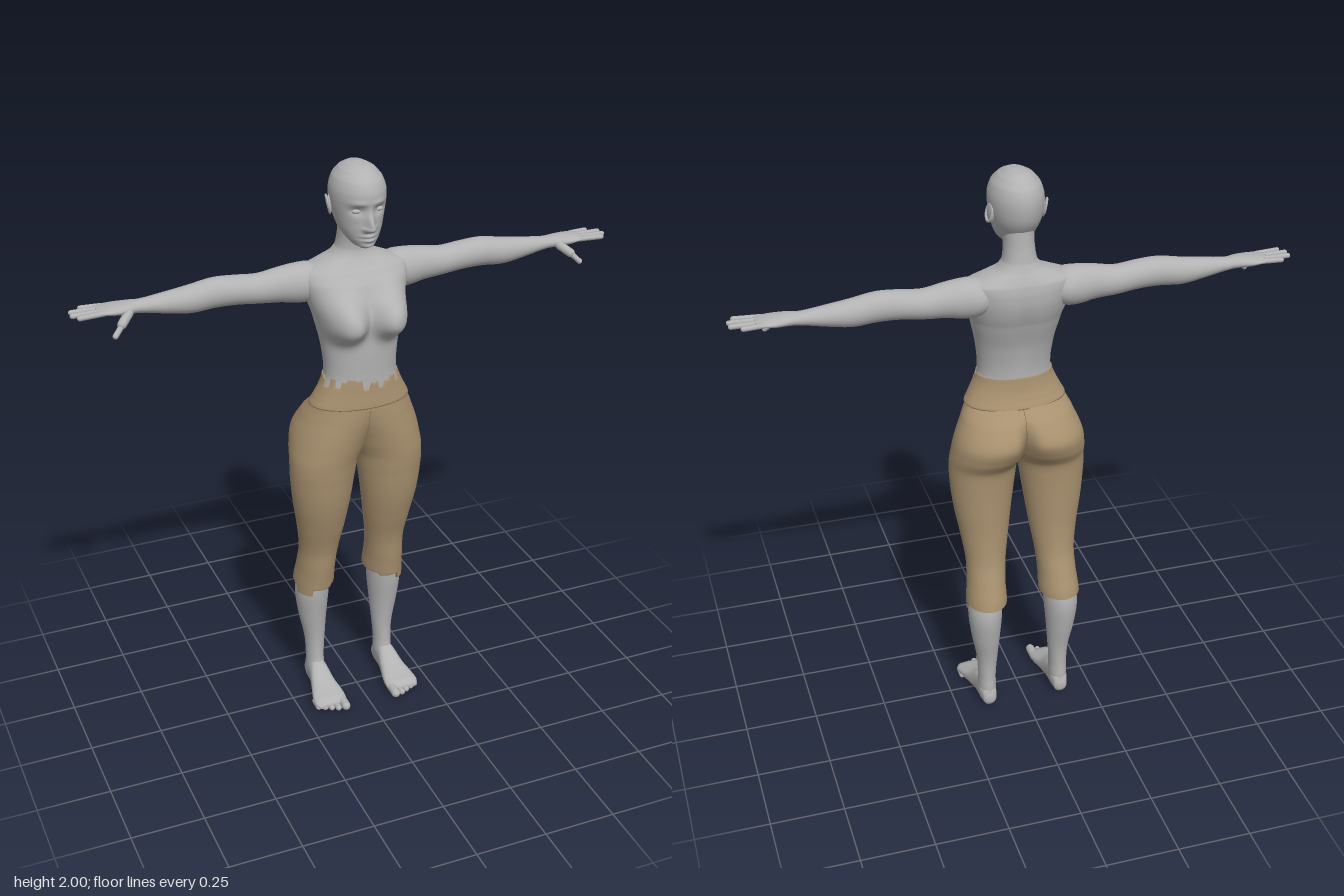
import * as THREE from 'three';

const skin = new THREE.MeshStandardMaterial({ color: 0xb2b2b2 });
skin.name = 'grey skin';
const cloth = new THREE.MeshStandardMaterial({ color: 0xa8916f });
cloth.name = 'tan cloth';

const toXYZ = {
  y: (t, a, b) => new THREE.Vector3(a, t, b), // rings stacked upwards: a = x, b = z
  x: (t, a, b) => new THREE.Vector3(t, a, b), // rings along the arm: a = y, b = z
  z: (t, a, b) => new THREE.Vector3(a, b, t), // rings along the foot: a = x, b = y
};

const mix = (a, b, c, d, t) => // Catmull-Rom blend
  b + 0.5 * t * (c - a + t * (2 * a - 5 * b + 4 * c - d + t * (3 * (b - c) + d - a)));

// Smooth closed skin over oval rings [position, a0, a1, b0, b1]
function loft(rings, { axis = 'y', side = 1, segs = 40, steps = 6, power = 2, warp } = {}) {
  const pos = [], index = [], n = rings.length - 1, rows = n * steps;
  const at = (i) => rings[Math.min(n, Math.max(0, i))];
  const add = (v) => pos.push(v.x * side, v.y, v.z);
  const bend = (c) => Math.sign(c) * Math.abs(c) ** (2 / power);
  const centres = [];
  for (let r = 0; r <= rows; r++) {
    const i = Math.min(n - 1, Math.floor(r / steps)), f = r / steps - i;
    const [t, a0, a1, b0, b1] = at(i).map((_, k) => k === 0
      ? THREE.MathUtils.lerp(at(i)[0], at(i + 1)[0], f)
      : mix(at(i - 1)[k], at(i)[k], at(i + 1)[k], at(i + 2)[k], f));
    const ca = (a0 + a1) / 2, cb = (b0 + b1) / 2;
    for (let s = 0; s < segs; s++) {
      const ang = (s / segs) * Math.PI * 2;
      const v = toXYZ[axis](t, ca + bend(Math.cos(ang)) * (a1 - a0) / 2, cb + bend(Math.sin(ang)) * (b1 - b0) / 2);
      if (warp) warp(v, ang);
      add(v);
    }
    if (r === 0 || r === rows) centres.push(toXYZ[axis](t, ca, cb));
  }
  centres.forEach(add);
  const end = (rows + 1) * segs;
  for (let s = 0; s < segs; s++) {
    const q = (s + 1) % segs;
    for (let r = 0; r < rows; r++) {
      const a = r * segs + s, b = r * segs + q;
      index.push(a, a + segs, b, b, a + segs, b + segs);
    }
    index.push(end, s, q, end + 1, rows * segs + q, rows * segs + s);
  }
  // turn every face outwards
  const p = (i) => new THREE.Vector3().fromArray(pos, i * 3);
  let volume = 0;
  for (let i = 0; i < index.length; i += 3) volume += p(index[i]).dot(p(index[i + 1]).cross(p(index[i + 2])));
  if (volume < 0) index.reverse();
  const g = new THREE.BufferGeometry();
  g.setAttribute('position', new THREE.Float32BufferAttribute(pos, 3));
  g.setIndex(index);
  g.computeVertexNormals();
  return g;
}

const bump = (dx, dy, power = 1) => Math.exp(-((dx * dx + dy * dy) ** power));

export function createModel() {
  const model = new THREE.Group();
  const add = (name, geometry, material = skin, parent = model) => {
    const mesh = new THREE.Mesh(geometry, material);
    mesh.name = name;
    parent.add(mesh);
    return mesh;
  };
  // Rounded digit between two points
  const digit = (name, from, to, radius, parent) => {
    const a = new THREE.Vector3(...from), d = new THREE.Vector3(...to).sub(a), len = d.length();
    const mesh = add(name, new THREE.CapsuleGeometry(radius, len - radius, 6, 12), skin, parent);
    mesh.position.copy(a).addScaledVector(d, 0.5);
    mesh.quaternion.setFromUnitVectors(new THREE.Vector3(0, 1, 0), d.normalize());
  };

  // Torso and neck, with the bust and spine shaped by rule
  add('torso', loft([
    [1.17, -0.16, 0.16, -0.08, 0.11], [1.24, -0.14, 0.14, -0.065, 0.112], [1.3, -0.124, 0.124, -0.06, 0.113],
    [1.4, -0.132, 0.132, -0.076, 0.115], [1.5, -0.152, 0.152, -0.107, 0.108], [1.56, -0.17, 0.17, -0.126, 0.1],
    [1.61, -0.182, 0.182, -0.13, 0.083], [1.645, -0.178, 0.178, -0.125, 0.055], [1.665, -0.13, 0.13, -0.116, 0.038],
    [1.685, -0.08, 0.08, -0.105, 0.025], [1.71, -0.057, 0.057, -0.094, 0.018], [1.76, -0.05, 0.05, -0.085, 0.025],
    [1.83, -0.05, 0.05, -0.08, 0.04],
  ], {
    segs: 96, steps: 8, power: 2.15,
    warp(v) {
      const dy = v.y - 1.497, front = THREE.MathUtils.smoothstep(v.z, 0, 0.06);
      v.z += 0.082 * front * bump((Math.abs(v.x) - 0.082) / 0.066, dy / (dy > 0 ? 0.08 : 0.06), 1.4);
      if (v.z < 0) v.z += 0.01 * bump(v.x / 0.03, (v.y - 1.45) / 0.16);
    },
  }));

  // Head with brow, nose, lips and chin
  const head = new THREE.Group();
  head.name = 'head';
  model.add(head);
  add('skull', loft([
    [1.738, -0.018, 0.018, 0.04, 0.085], [1.748, -0.036, 0.036, 0, 0.1], [1.77, -0.055, 0.055, -0.035, 0.105],
    [1.8, -0.07, 0.07, -0.07, 0.108], [1.84, -0.081, 0.081, -0.097, 0.11], [1.88, -0.088, 0.088, -0.108, 0.115],
    [1.92, -0.088, 0.088, -0.109, 0.117], [1.955, -0.077, 0.077, -0.098, 0.103], [1.98, -0.056, 0.056, -0.074, 0.075],
    [1.994, -0.032, 0.032, -0.046, 0.043], [2, -0.004, 0.004, -0.008, 0.002],
  ], {
    segs: 112, steps: 9,
    warp(v) {
      if (v.z < 0.02) return;
      const x = Math.abs(v.x), dy = v.y - 1.814;
      v.z += 0.036 * bump(v.x / (dy > 0 ? 0.012 : 0.016), dy / (dy > 0 ? 0.037 : 0.012)); // nose
      v.z += 0.007 * bump((x - 0.013) / 0.008, (v.y - 1.807) / 0.009); // nostrils
      v.z -= 0.013 * bump((x - 0.036) / 0.022, (v.y - 1.868) / 0.015); // eye sockets
      v.z += 0.005 * bump((x - 0.035) / 0.03, (v.y - 1.893) / 0.009); // brows
      v.z += 0.009 * bump(v.x / 0.022, (v.y - 1.784) / 0.007); // upper lip
      v.z += 0.009 * bump(v.x / 0.02, (v.y - 1.77) / 0.007); // lower lip
      v.z -= 0.005 * bump(v.x / 0.028, (v.y - 1.777) / 0.003); // mouth line
      v.z += 0.006 * bump(v.x / 0.025, (v.y - 1.749) / 0.01); // chin
    },
  }), skin, head);

  for (const side of [1, -1]) {
    const label = side > 0 ? 'left' : 'right';
    const mirrored = (name) => {
      const g = new THREE.Group();
      g.name = name;
      model.add(g);
      return g;
    };

    // Eyes and ears
    const eye = add(label + 'Eye', new THREE.SphereGeometry(0.013, 20, 14), skin, head);
    eye.position.set(side * 0.036, 1.866, 0.088);
    eye.scale.set(1.25, 0.65, 0.8);
    const ear = add(label + 'Ear', new THREE.SphereGeometry(0.02, 20, 14), skin, head);
    ear.position.set(side * 0.087, 1.862, -0.015);
    ear.scale.set(0.35, 1.6, 0.9);
    ear.rotation.set(-0.2, side * 0.3, 0);
    const rim = add(label + 'EarRim', new THREE.TorusGeometry(0.018, 0.004, 8, 24), skin, head);
    rim.position.set(side * 0.092, 1.866, -0.016);
    rim.rotation.set(-0.2, Math.PI / 2 + side * 0.25, 0, 'YXZ');
    rim.scale.y = 1.45;

    // Arm and hand, stretched sideways
    const arm = mirrored(label + 'Arm');
    add(label + 'ArmSkin', loft([
      [0.08, 1.57, 1.64, -0.09, 0], [0.14, 1.54, 1.664, -0.112, 0.018], [0.19, 1.535, 1.667, -0.108, 0.014],
      [0.25, 1.545, 1.661, -0.1, 0.004], [0.32, 1.551, 1.65, -0.098, -0.002], [0.4, 1.56, 1.657, -0.095, -0.002],
      [0.47, 1.561, 1.66, -0.093, -0.004], [0.55, 1.556, 1.647, -0.092, -0.006], [0.63, 1.568, 1.636, -0.085, -0.013],
      [0.71, 1.583, 1.627, -0.077, -0.021], [0.745, 1.588, 1.628, -0.082, -0.012], [0.79, 1.592, 1.626, -0.092, -0.004],
      [0.835, 1.6, 1.622, -0.092, -0.006], [0.85, 1.605, 1.618, -0.085, -0.012],
    ], { axis: 'x', side }), skin, arm);
    const fingers = [[-0.082, -0.088, 0.895], [-0.061, -0.062, 0.93], [-0.038, -0.033, 0.932], [-0.016, -0.007, 0.915]];
    for (const [z0, z1, x1] of fingers)
      digit(label + 'Finger', [side * 0.825, 1.611, z0], [side * x1, 1.611, z1], 0.0085, arm);
    digit(label + 'ThumbBase', [side * 0.75, 1.603, -0.022], [side * 0.79, 1.572, 0.012], 0.015, arm);
    digit(label + 'ThumbTip', [side * 0.785, 1.575, 0.01], [side * 0.815, 1.545, 0.027], 0.0095, arm);

    // Shin, foot and toes
    const leg = mirrored(label + 'LowerLeg');
    add(label + 'Shin', loft([
      [0.02, 0.11, 0.16, -0.115, -0.03], [0.06, 0.102, 0.166, -0.124, -0.028], [0.12, 0.102, 0.165, -0.12, -0.04],
      [0.2, 0.096, 0.17, -0.125, -0.041], [0.3, 0.088, 0.188, -0.145, -0.03], [0.4, 0.08, 0.198, -0.157, -0.015],
      [0.5, 0.08, 0.185, -0.14, -0.01],
    ], { side }), skin, leg);
    add(label + 'Foot', loft([
      [-0.13, 0.122, 0.148, 0.018, 0.045], [-0.122, 0.11, 0.158, 0.006, 0.07], [-0.09, 0.103, 0.166, 0.002, 0.1],
      [-0.04, 0.1, 0.17, 0.002, 0.105], [0.01, 0.092, 0.182, 0.003, 0.072], [0.06, 0.082, 0.196, 0.003, 0.05],
      [0.095, 0.081, 0.2, 0.002, 0.038], [0.118, 0.088, 0.188, 0.008, 0.026],
    ], { axis: 'z', side, power: 2.4 }), skin, leg);
    for (let i = 0; i < 5; i++) {
      const r = i === 0 ? 0.016 : 0.0115 - i * 0.0003, x = i === 0 ? 0.098 : 0.103 + i * 0.0215;
      digit(label + 'Toe', [side * x, r + 0.002, 0.085 - i * 0.007], [side * x, r, 0.147 - i * 0.0105 - (i ? 0 : 0.003)], r, leg);
    }

    // Trouser leg: flat where the two halves meet, with a torn hem
    add(label + 'TrouserLeg', loft([
      [0.4, 0.068, 0.203, -0.165, -0.004], [0.45, 0.062, 0.203, -0.167, 0.002], [0.52, 0.062, 0.197, -0.145, 0.012],
      [0.6, 0.055, 0.195, -0.12, 0.023], [0.7, 0.04, 0.208, -0.111, 0.053], [0.8, 0.026, 0.225, -0.111, 0.08],
      [0.9, 0.012, 0.235, -0.113, 0.095], [0.97, 0, 0.236, -0.12, 0.103], [1.02, -0.03, 0.231, -0.152, 0.108],
      [1.08, -0.07, 0.218, -0.17, 0.113], [1.15, -0.125, 0.19, -0.135, 0.118], [1.2, -0.168, 0.168, -0.083, 0.12],
    ], {
      side, segs: 96, steps: 8,
      warp(v, ang) {
        const hem = ang > 0.25 && ang < 1.15 ? 0.41 : ang < 2.2 ? 0.435 : 0.445;
        v.y = Math.max(v.y, hem);
        if (v.z < 0) v.z += 0.03 * bump(v.x / 0.022, (v.y - 1.08) / 0.075);
        v.x = Math.max(v.x, 0.0005);
      },
    }), cloth);
  }

  // Waistband with a torn upper edge
  const notches = [0, -0.02, 0.008, -0.025, 0, -0.012, -0.03, -0.008, -0.03, 0.004, 0.01, 0, -0.02, 0.01, -0.022, 0];
  add('waistband', loft([
    [1.188, -0.174, 0.174, -0.09, 0.123], [1.21, -0.163, 0.163, -0.081, 0.122], [1.24, -0.148, 0.148, -0.071, 0.12],
    [1.27, -0.135, 0.135, -0.066, 0.119], [1.3, -0.128, 0.128, -0.064, 0.117],
  ], {
    segs: 192, power: 2.1,
    warp(v, ang) {
      const torn = ang < Math.PI ? notches[Math.floor((ang / Math.PI) * notches.length)] : 0.006;
      v.y = Math.min(v.y, 1.284 + torn);
    },
  }), cloth);

  return model;
}
